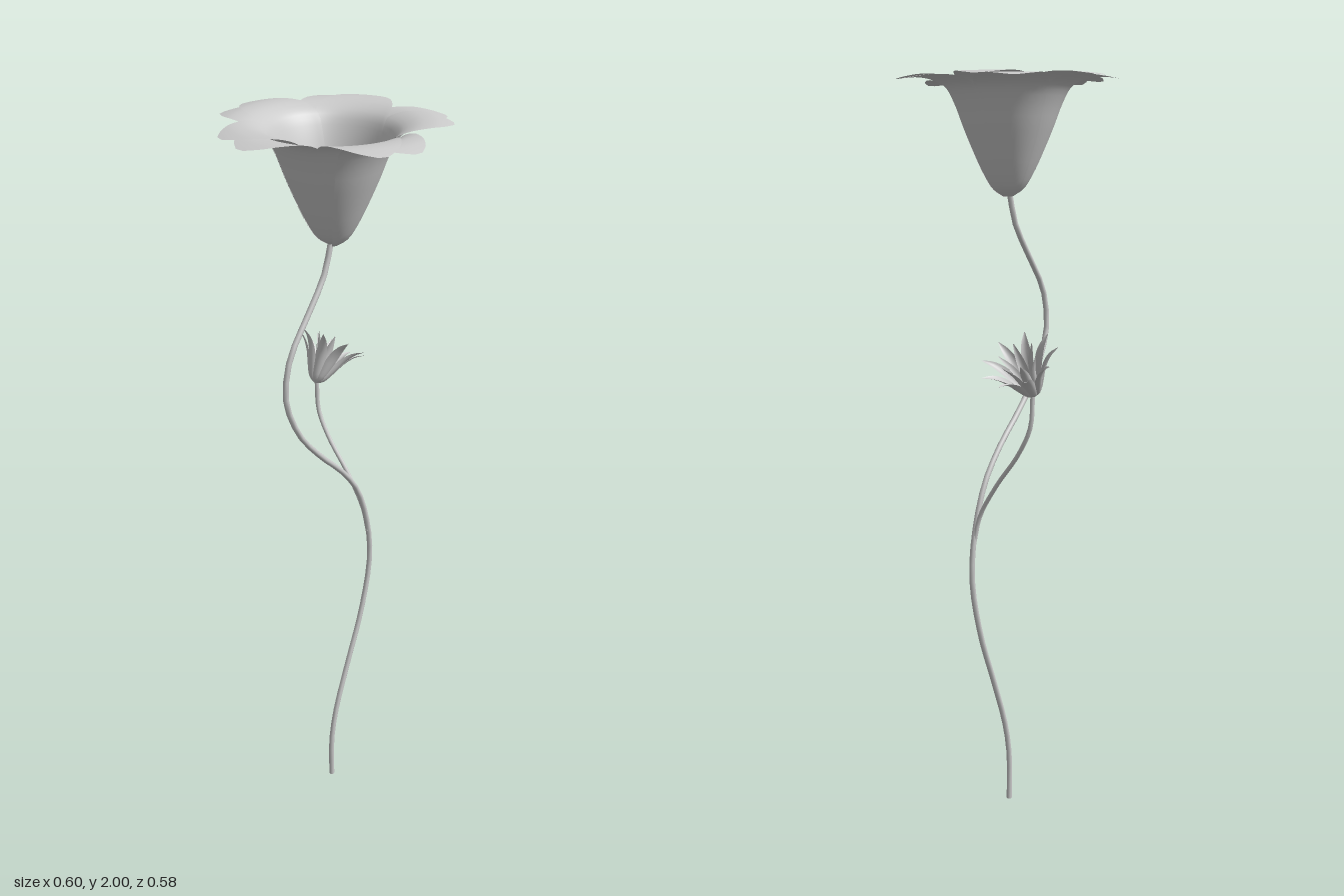
import * as THREE from 'three';

const grey = new THREE.MeshStandardMaterial({ color: 0xcccccc, side: THREE.DoubleSide });
const RAD = Math.PI / 180;

function add(parent, name, geometry) {
  const mesh = new THREE.Mesh(geometry, grey);
  mesh.name = name;
  parent.add(mesh);
  return mesh;
}

// Petal wrapped around the y axis. Each row is [radius, height, half width].
function petalGeometry(rows, angle, { maxAngle = 40, fold = 0, grow = 0, lift = 0, nu = 22, nv = 12 } = {}) {
  const curve = new THREE.CatmullRomCurve3(rows.map(p => new THREE.Vector3(...p)));
  const positions = [], index = [];
  for (let i = 0; i <= nu; i++) {
    const p = curve.getPoint(i / nu);
    const r = p.x + grow;
    const half = Math.min(maxAngle * RAD, Math.max(p.z, 0) / r);
    for (let j = 0; j <= nv; j++) {
      const v = (j / nv) * 2 - 1;
      const a = angle + v * half;
      const rr = r - fold * v * v * p.z;
      positions.push(rr * Math.cos(a), p.y + lift + fold * v * v * p.z * 0.5, rr * Math.sin(a));
      if (i < nu && j < nv) {
        const n = i * (nv + 1) + j, m = n + nv + 1;
        index.push(n, m, n + 1, m, m + 1, n + 1);
      }
    }
  }
  const g = new THREE.BufferGeometry();
  g.setAttribute('position', new THREE.Float32BufferAttribute(positions, 3));
  g.setIndex(index);
  g.computeVertexNormals();
  return g;
}

function stalk(parent, name, points, radius, segments) {
  const curve = new THREE.CatmullRomCurve3(points.map(p => new THREE.Vector3(...p)));
  add(parent, name, new THREE.TubeGeometry(curve, segments, radius, 8));
}

export function createModel() {
  const model = new THREE.Group();
  model.name = 'flower';

  // Winding main stem
  stalk(model, 'stem', [
    [-0.01, 0], [-0.01, 0.13], [0.01, 0.23], [0.063, 0.37], [0.127, 0.53], [0.163, 0.69],
    [0.152, 0.81], [0.106, 0.94], [0.037, 1.03], [-0.058, 1.12], [-0.137, 1.21], [-0.185, 1.31],
    [-0.19, 1.36], [-0.17, 1.44], [-0.095, 1.54], [-0.037, 1.62], [-0.008, 1.71],
  ].map(([x, y]) => [x, y, 0]), 0.0075, 40);

  // Side branch curving backwards
  stalk(model, 'branch', [
    [0.153, 0.79, 0], [0.148, 0.865, -0.016], [0.148, 0.955, -0.07], [0.148, 1.045, -0.138],
    [0.148, 1.12, -0.175], [0.148, 1.21, -0.182],
  ], 0.006, 20);

  // Trumpet bloom: ten petals in one spiral, each a little further out
  const bloom = new THREE.Group();
  bloom.name = 'bloom';
  bloom.position.set(-0.007, 0, 0);
  model.add(bloom);
  const step = 68.4, start = -156;
  const petal = [
    [0.008, 1.698, 0.02], [0.035, 1.717, 0.04], [0.06, 1.757, 0.06], [0.087, 1.815, 0.07],
    [0.112, 1.875, 0.08], [0.135, 1.935, 0.092], [0.158, 1.975, 0.099], [0.195, 1.994, 0.096],
    [0.235, 1.998, 0.075], [0.265, 1.994, 0.047], [0.287, 1.989, 0.012],
  ];
  for (let k = 0; k < 10; k++) {
    add(bloom, 'petal', petalGeometry(petal, (start + step * k) * RAD,
      { grow: 0.0008 * k, lift: -0.0009 * k, nu: 32, nv: 16 }));
  }

  // Slender inner petals lining the cup
  const inner = [
    [0.014, 1.725, 0.004], [0.036, 1.747, 0.014], [0.064, 1.795, 0.023],
    [0.09, 1.855, 0.02], [0.11, 1.9, 0.002],
  ];
  for (let k = 0; k < 10; k++) {
    add(bloom, 'innerPetal', petalGeometry(inner, (start + 18 + 36 * k) * RAD, { fold: 0.25, nu: 14, nv: 8 }));
  }

  // Small seed head in the throat
  const heart = add(bloom, 'seedHead', new THREE.SphereGeometry(0.009, 12, 8));
  heart.position.y = 1.735;
  for (let k = 0; k < 8; k++) {
    const a = k * Math.PI / 4;
    const seed = add(bloom, 'seed', new THREE.SphereGeometry(0.007, 10, 8));
    seed.position.set(0.016 * Math.cos(a), 1.733, 0.016 * Math.sin(a));
  }

  // Half-open bud leaning to the side
  const bud = new THREE.Group();
  bud.name = 'bud';
  bud.position.set(0.143, 1.203, -0.184);
  bud.rotation.z = -36 * RAD;
  model.add(bud);
  const outer = [
    [0.003, 0, 0.003], [0.022, 0.012, 0.012], [0.038, 0.04, 0.017],
    [0.058, 0.08, 0.016], [0.08, 0.108, 0.01], [0.103, 0.124, 0.001],
  ];
  const core = [
    [0.003, 0.004, 0.003], [0.016, 0.02, 0.01], [0.024, 0.05, 0.014],
    [0.034, 0.09, 0.012], [0.052, 0.135, 0.001],
  ];
  for (let k = 0; k < 9; k++) {
    add(bud, 'budPetal', petalGeometry(outer, k * 40 * RAD, { maxAngle: 60, fold: 0.3, nu: 14, nv: 6 }));
  }
  for (let k = 0; k < 6; k++) {
    add(bud, 'budInnerPetal', petalGeometry(core, (k * 60 + 20) * RAD, { maxAngle: 60, fold: 0.3, nu: 14, nv: 6 }));
  }
  return model;
}
